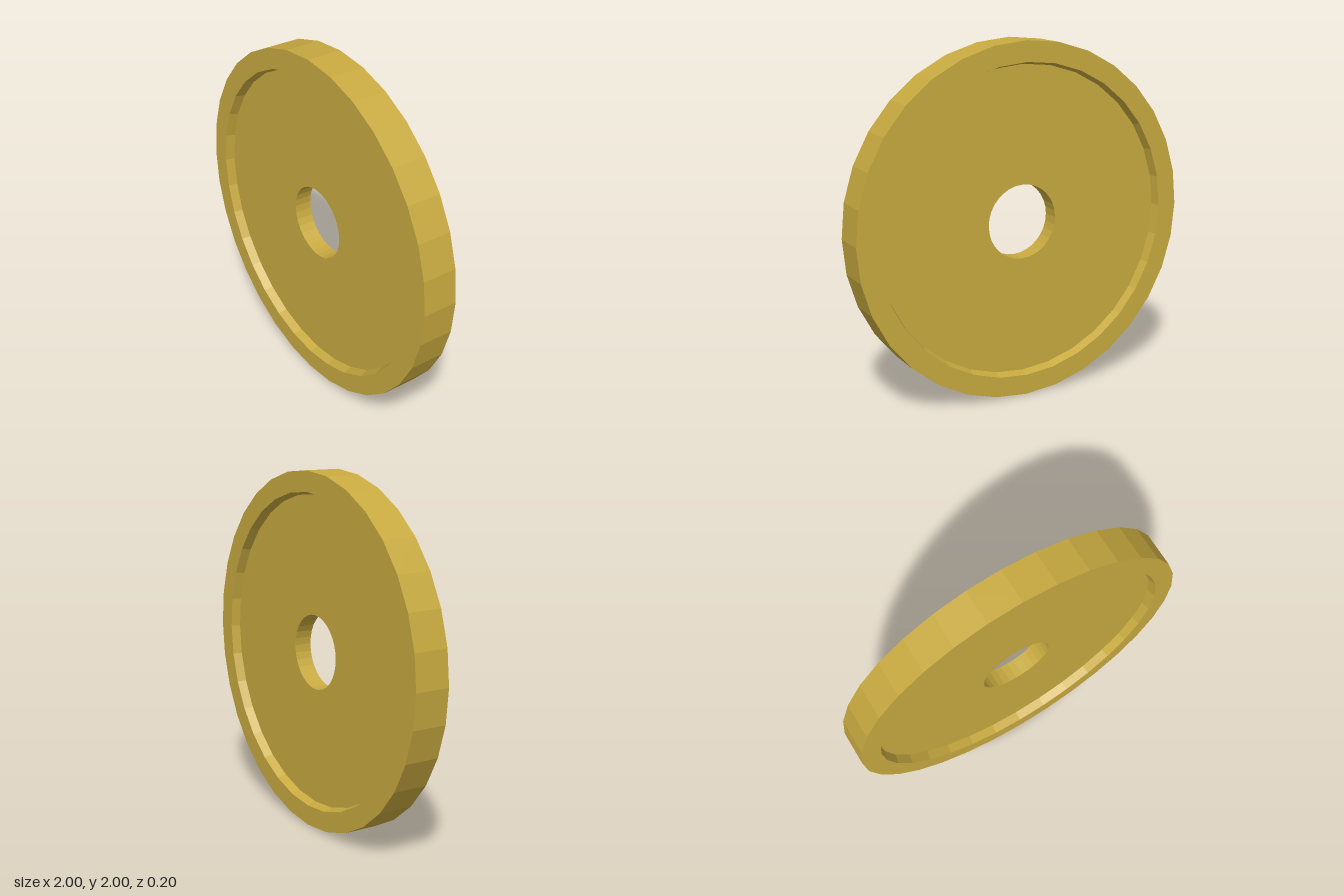
import * as THREE from 'three';

const SIDES = 32;
const RADIUS = 1, HALF_WIDTH = 0.1;        // outer rim
const RECESS = 0.885, FLOOR = 0.87;        // tapered recess wall
const HOLE = 0.21, HALF_WEB = 0.05;        // centre plate and bore

export function createModel() {
  const group = new THREE.Group();
  group.name = 'recessedDisc';

  // Half section from the bore, out along one face; mirrored for the other face
  const face = [[HOLE, HALF_WEB], [FLOOR, HALF_WEB], [RECESS, HALF_WIDTH], [RADIUS, HALF_WIDTH]];
  const back = face.map(([r, h]) => new THREE.Vector2(r, -h));
  const front = face.map(([r, h]) => new THREE.Vector2(r, h)).reverse();
  const profile = [...back, ...front, back[0].clone()];

  // Disc with raised rim, recessed plate on both faces and a through hole
  const geometry = new THREE.LatheGeometry(profile, SIDES);
  geometry.rotateX(Math.PI / 2);
  const material = new THREE.MeshStandardMaterial({ color: 0xc8aa40, flatShading: true });
  const disc = new THREE.Mesh(geometry, material);
  disc.name = 'wheelDisc';
  disc.position.y = RADIUS;
  group.add(disc);

  return group;
}
